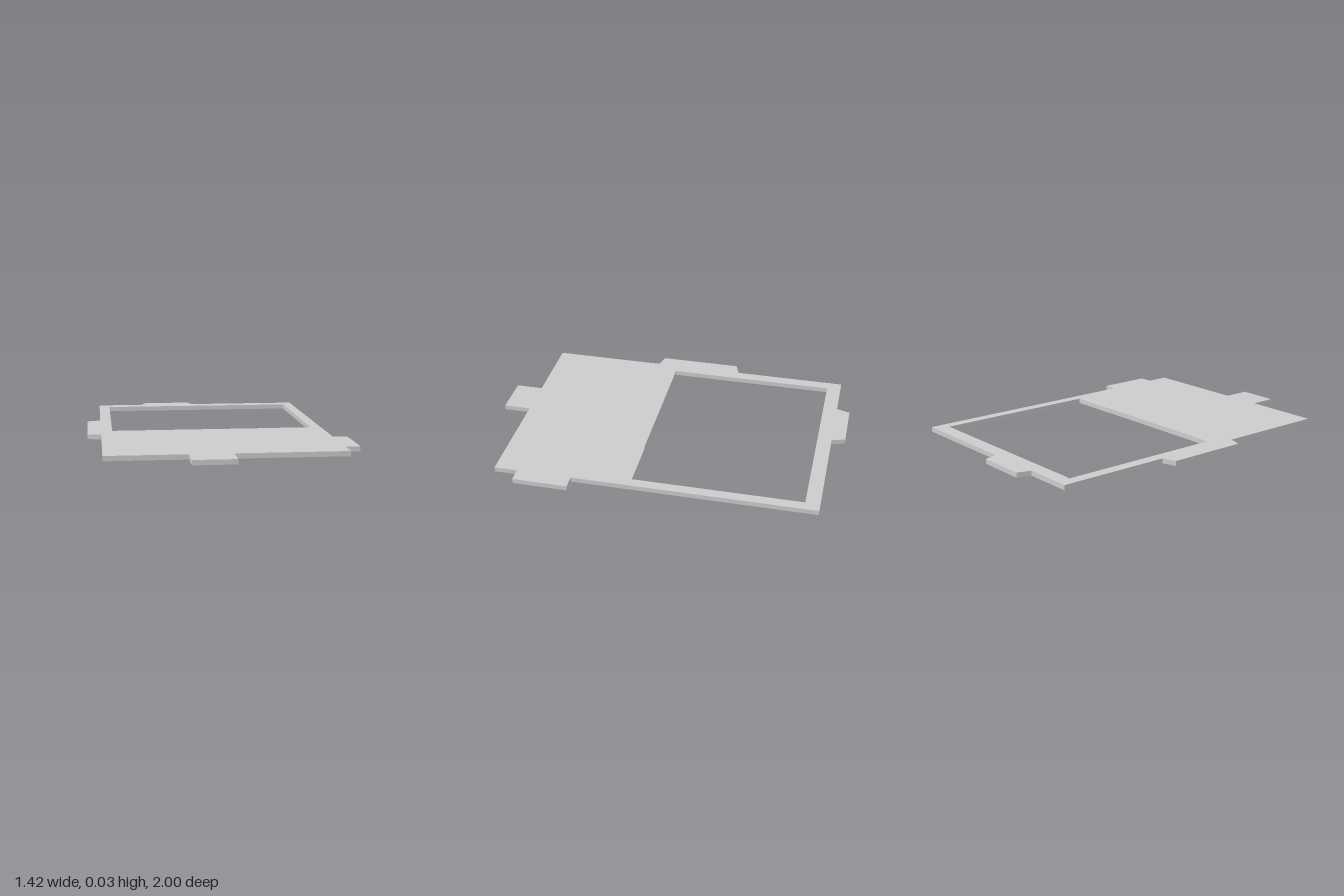
import * as THREE from 'three';

const THICKNESS = 0.027;

// Plan coordinates (x, z) to shape points, which lie flat after the rotation
const toPoints = (plan) => plan.map(([x, z]) => new THREE.Vector2(x, -z));

export function createModel() {
  const group = new THREE.Group();
  group.name = 'flatPanel';

  const left = -0.633, right = 0.629, back = -0.925, front = 0.849;

  // Panel outline with a tab on each side
  const outline = new THREE.Shape(toPoints([
    [left, back],
    [-0.355, back], [-0.33, -1], [-0.051, -1], [-0.026, back], // back tab
    [right, back],
    [right, 0.415], [0.709, 0.415], [0.709, 0.72], [right, 0.72], // right edge tab
    [right, front],
    [0.029, front], [0.029, 1], [-0.2, 1], [-0.2, front], // front tab
    [left, front],
    [left, 0.216], [-0.709, 0.194], [-0.709, -0.264], [left, -0.29], // left edge tab
  ]));

  // Window opening, wound opposite to the outline so its walls face inward
  outline.holes.push(new THREE.Path(toPoints([
    [-0.57, 0.094], [0.262, 0.094], [0.275, 0.09], [0.572, 0.09],
    [0.572, -0.845], [-0.525, -0.845], [-0.57, -0.848],
  ])));

  const geometry = new THREE.ExtrudeGeometry(outline, { depth: THICKNESS, bevelEnabled: false });
  geometry.rotateX(-Math.PI / 2);

  const panel = new THREE.Mesh(
    geometry,
    new THREE.MeshStandardMaterial({ color: 0xcccccc, flatShading: true }),
  );
  panel.name = 'tabbedPanelWithWindow';
  group.add(panel);
  return group;
}
